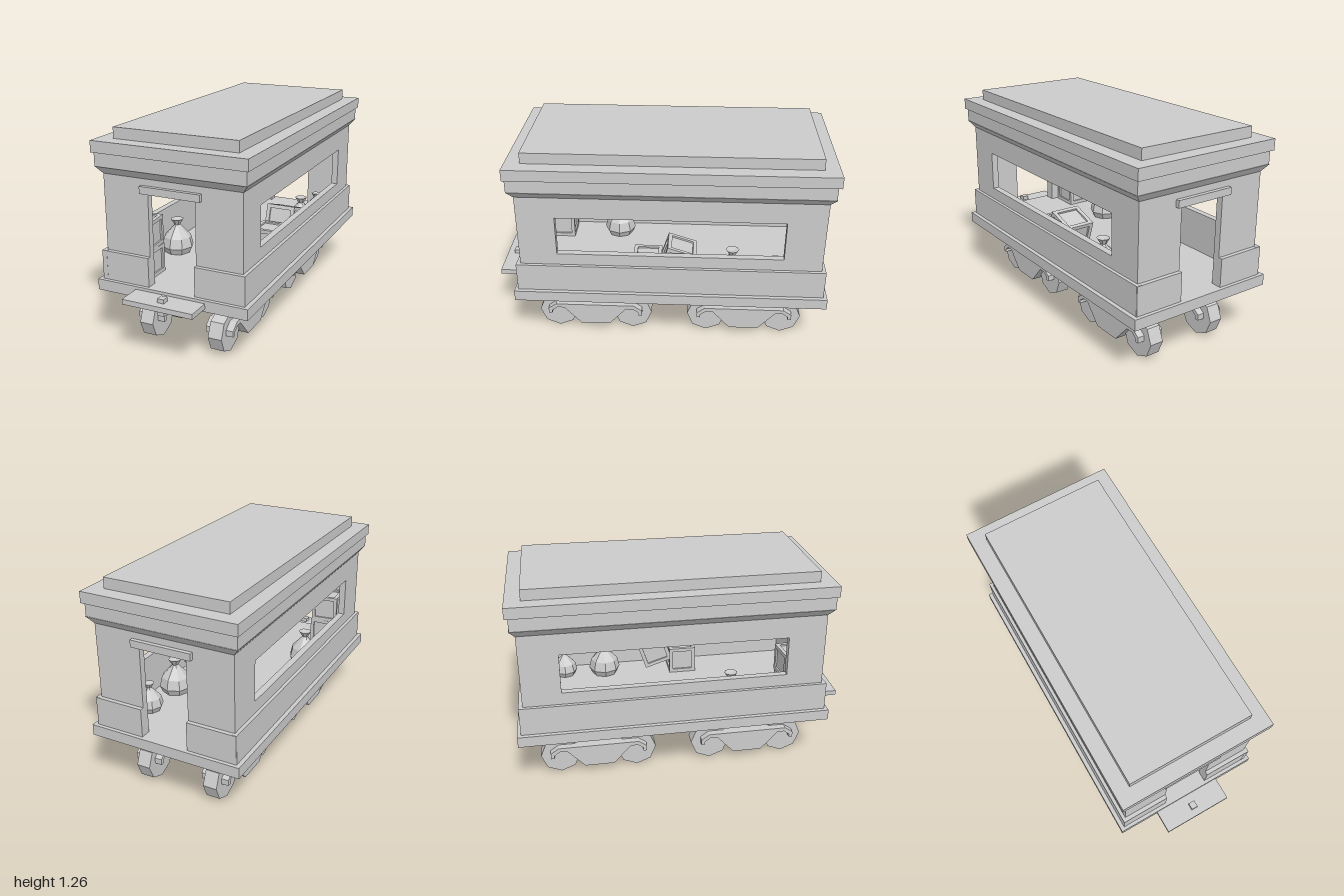
import * as THREE from 'three';

const mat = new THREE.MeshStandardMaterial({ color: 0xcccccc, flatShading: true });

function add(parent, name, geometry) {
  const mesh = new THREE.Mesh(geometry, mat);
  mesh.name = name;
  parent.add(mesh);
  return mesh;
}

// Box given by its limits on each axis
function block(parent, name, [x0, x1], [y0, y1], [z0, z1]) {
  const mesh = add(parent, name, new THREE.BoxGeometry(x1 - x0, y1 - y0, z1 - z0));
  mesh.position.set((x0 + x1) / 2, (y0 + y1) / 2, (z0 + z1) / 2);
  return mesh;
}

const outline = (points) => new THREE.Shape(points.map(([x, y]) => new THREE.Vector2(x, y)));

// Extrude a (z, y) profile across x, starting at x0
function extrudeX(shape, x0, width) {
  const g = new THREE.ExtrudeGeometry(shape, { depth: width, bevelEnabled: false });
  return g.rotateY(-Math.PI / 2).translate(x0 + width, 0, 0);
}

// Slatted crate: recessed panels inside twelve edge beams
function crate(parent, size, x, y, z, tilt = 0, turn = 0) {
  const g = new THREE.Group();
  g.name = 'crate';
  add(g, 'cratePanels', new THREE.BoxGeometry(size * 0.88, size * 0.88, size * 0.88));
  const t = size * 0.13, o = (size - t) / 2;
  for (let axis = 0; axis < 3; axis++)
    for (const a of [-o, o]) for (const b of [-o, o]) {
      const dims = [t, t, t], pos = [0, 0, 0];
      dims[axis] = size;
      pos[(axis + 1) % 3] = a;
      pos[(axis + 2) % 3] = b;
      add(g, 'crateBeam', new THREE.BoxGeometry(...dims)).position.set(...pos);
    }
  g.position.set(x, y, z);
  g.rotation.set(tilt, turn, 0);
  parent.add(g);
}

// Tied sack with a pinched neck
function sack(parent, x, z, scale) {
  const profile = [[0, 0], [0.08, 0], [0.1, 0.04], [0.085, 0.1], [0.03, 0.16], [0.018, 0.175], [0.04, 0.21], [0, 0.2]];
  const mesh = add(parent, 'sack', new THREE.LatheGeometry(profile.map(([r, y]) => new THREE.Vector2(r, y)), 8));
  mesh.scale.setScalar(scale);
  mesh.position.set(x, 0.395, z);
}

// Wheel truck: hooked side frame, hanger and two octagonal wheels
function truck(parent, x, z) {
  const g = new THREE.Group();
  g.name = 'wheelTruck';
  const half = [[0.09, 0.05], [0.195, 0.165], [0.24, 0.165], [0.273, 0.14], [0.273, 0.12],
    [0.295, 0.12], [0.295, 0.155], [0.245, 0.19]];
  const mirrored = half.map(([a, b]) => [-a, b]).reverse();
  add(g, 'truckFrame', extrudeX(outline([...half, ...mirrored]), -0.085, 0.17));
  block(g, 'hanger', [-0.028, 0.028], [0.18, 0.335], [-0.092, 0.092]);
  for (const s of [-1, 1]) {
    const wheel = add(g, 'wheel', new THREE.CylinderGeometry(0.12, 0.12, 0.084, 8).rotateZ(Math.PI / 2));
    wheel.position.set(0, 0.12, s * 0.235);
  }
  g.position.set(x, 0, z);
  parent.add(g);
}

export function createModel() {
  const model = new THREE.Group();
  model.name = 'railwayCarriage';

  // Floor slab and front coupler
  block(model, 'floor', [-0.465, 0.465], [0.33, 0.395], [-1, 0.86]);
  block(model, 'couplerPlate', [-0.215, 0.215], [0.348, 0.378], [0.85, 1]);
  block(model, 'couplerPin', [-0.02, 0.02], [0.302, 0.402], [0.914, 0.956]);

  // Side walls with long windows, and the thicker skirts below
  for (const s of [-1, 1]) {
    const wall = outline([[-0.955, 0.395], [0.815, 0.395], [0.815, 1.02], [-0.955, 1.02]]);
    wall.holes.push(outline([[-0.73, 0.64], [-0.73, 0.88], [0.593, 0.88], [0.593, 0.64]]));
    add(model, 'sideWall', extrudeX(wall, s > 0 ? 0.38 : -0.42, 0.04));
    const xs = s > 0 ? [0.41, 0.44] : [-0.44, -0.41];
    block(model, 'sideSkirt', xs, [0.395, 0.567], [-0.975, 0.84]);
  }

  // End walls with doorways, split skirts and lintels
  for (const [outer, s] of [[0.815, 1], [-0.955, -1]]) {
    const end = outline([[-0.418, 0.395], [-0.142, 0.395], [-0.142, 0.93], [0.142, 0.93],
      [0.142, 0.395], [0.418, 0.395], [0.418, 1.02], [-0.418, 1.02]]);
    const g = new THREE.ExtrudeGeometry(end, { depth: 0.04, bevelEnabled: false });
    add(model, 'endWall', g).position.z = s > 0 ? outer - 0.04 : outer;
    const span = (d) => [outer - s * 0.01, outer + s * d].sort((a, b) => a - b);
    for (const xs of [[-0.439, -0.142], [0.142, 0.439]])
      block(model, 'endSkirt', xs, [0.395, 0.566], span(0.024));
    block(model, 'doorLintel', [-0.182, 0.182], [0.93, 0.972], span(0.023));
  }

  // Flared cornice: a block whose lower rim is drawn in to meet the walls
  const flare = new THREE.BoxGeometry(0.91, 0.043, 1.83);
  const p = flare.attributes.position;
  for (let i = 0; i < p.count; i++)
    if (p.getY(i) < 0) p.setXYZ(i, Math.sign(p.getX(i)) * 0.42, p.getY(i), Math.sign(p.getZ(i)) * 0.885);
  flare.computeVertexNormals();
  add(model, 'corniceFlare', flare).position.set(0, 1.0315, -0.07);

  // Stepped roof
  block(model, 'corniceBand', [-0.452, 0.452], [1.053, 1.132], [-0.982, 0.848]);
  block(model, 'roofSlab', [-0.465, 0.465], [1.132, 1.198], [-1, 0.86]);
  block(model, 'roofTop', [-0.375, 0.375], [1.198, 1.262], [-0.91, 0.77]);

  // Four wheel trucks
  for (const x of [-0.22, 0.22]) for (const z of [0.405, -0.53]) truck(model, x, z);

  // Cargo inside
  const cargo = new THREE.Group();
  cargo.name = 'cargo';
  model.add(cargo);
  crate(cargo, 0.17, -0.27, 0.48, 0.675);
  crate(cargo, 0.17, -0.27, 0.65, 0.675, 0, 0.1);
  crate(cargo, 0.17, 0.26, 0.48, 0.07);
  crate(cargo, 0.18, 0.275, 0.551, -0.113, -0.31);
  sack(cargo, -0.27, 0.29, 1);
  sack(cargo, 0.265, -0.44, 1);
  sack(cargo, 0.28, -0.7, 0.8);

  return model;
}
